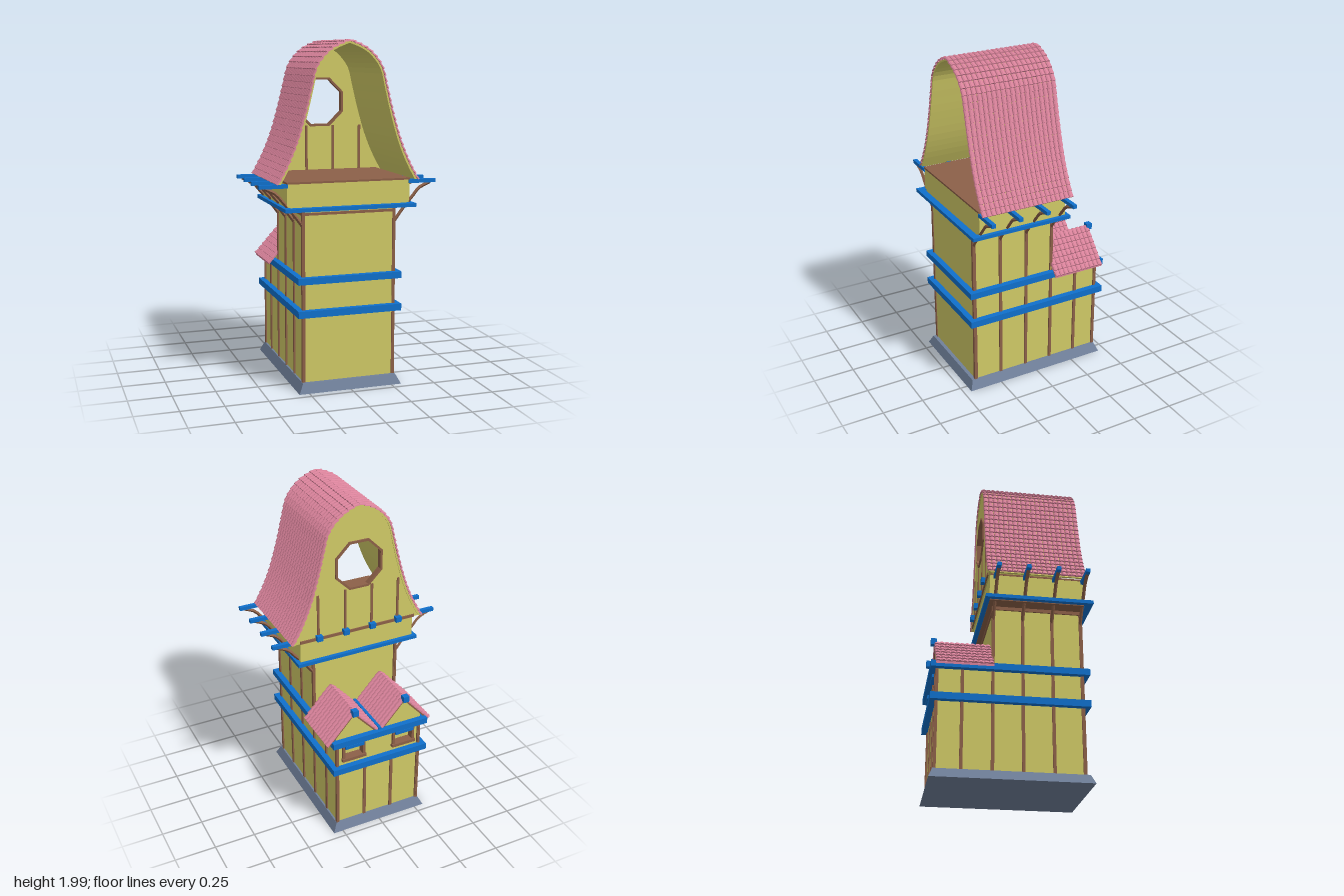
import * as THREE from 'three';
import { mergeGeometries } from 'three/addons/utils/BufferGeometryUtils.js';

const mat = (color) => new THREE.MeshStandardMaterial({ color, flatShading: true, side: THREE.DoubleSide });
const PLASTER = mat(0xd0ca66), WOOD = mat(0x8c6048), BLUE = mat(0x1070cc), TILE = mat(0xd8829a), SLATE = mat(0x70809a);
const V2 = (x, y) => new THREE.Vector2(x, y);

export function createModel() {
  const model = new THREE.Group();

  const add = (name, geo, material) => {
    const m = new THREE.Mesh(geo, material);
    m.name = name;
    model.add(m);
    return m;
  };
  // Box given by its limits on each axis
  const box = (name, material, x0, x1, y0, y1, z0, z1) => {
    const m = add(name, new THREE.BoxGeometry(x1 - x0, y1 - y0, z1 - z0), material);
    m.position.set((x0 + x1) / 2, (y0 + y1) / 2, (z0 + z1) / 2);
    return m;
  };
  // Flat shape in the xy plane, thickened from z0 to z1
  const slab = (name, material, shape, z0, z1) => {
    const m = add(name, new THREE.ExtrudeGeometry(shape, { depth: z1 - z0, bevelEnabled: false }), material);
    m.position.z = z0;
    return m;
  };
  // Four beams round a rectangle
  const ring = (name, x, y0, y1, z0, z1, w) => {
    box(name, BLUE, -x, x, y0, y1, z1 - w, z1);
    box(name, BLUE, -x, x, y0, y1, z0, z0 + w);
    for (const s of [-1, 1]) box(name, BLUE, s * (x - w / 2) - w / 2, s * (x - w / 2) + w / 2, y0, y1, z0 + w, z1 - w);
  };
  const rect = (x0, x1, y0, y1) => new THREE.Shape([V2(x0, y0), V2(x1, y0), V2(x1, y1), V2(x0, y1)]);

  // Sloped stone plinth
  const plinth = new THREE.BoxGeometry(0.62, 0.055, 0.91);
  const pp = plinth.attributes.position;
  for (let i = 0; i < pp.count; i++) if (pp.getY(i) > 0) pp.setXYZ(i, pp.getX(i) * 0.91, pp.getY(i), pp.getZ(i) * 0.95);
  add('plinth', plinth, SLATE).position.y = 0.0275;

  // Tower and low rear wing; the wing's back wall has two window openings
  box('towerWalls', PLASTER, -0.272, 0.272, 0.05, 1.05, -0.105, 0.41);
  box('wingWalls', PLASTER, -0.272, 0.272, 0.05, 0.66, -0.385, -0.105);
  const backWall = rect(-0.272, 0.272, 0.05, 0.66);
  for (const c of [-0.165, 0.165]) backWall.holes.push(rect(c - 0.06, c + 0.06, 0.525, 0.605));
  slab('wingBackWall', PLASTER, backWall, -0.42, -0.385);

  // Upright timbers on the walls
  const postZ = [0.404, 0.235, 0.063, -0.108, -0.28, -0.423];
  for (const s of [-1, 1]) {
    postZ.forEach((z, i) =>
      box('sidePost', WOOD, s * 0.274 - 0.006, s * 0.274 + 0.006, 0.05, i < 4 ? 1.04 : 0.65, z - 0.009, z + 0.009));
    box('topRail', WOOD, s * 0.275 - 0.006, s * 0.275 + 0.006, 1.02, 1.04, -0.11, 0.41);
    for (const z of [0.409, -0.424, -0.108])
      box('cornerPost', WOOD, s * 0.271 - 0.009, s * 0.271 + 0.009, 0.05, z < -0.2 ? 0.65 : 1.04, z - 0.006, z + 0.006);
    box('backPost', WOOD, s * 0.09 - 0.009, s * 0.09 + 0.009, 0.05, 0.45, -0.428, -0.415);
  }
  box('topRail', WOOD, -0.28, 0.28, 1.02, 1.035, 0.405, 0.416);
  box('topRail', WOOD, -0.28, 0.28, 1.02, 1.035, -0.114, -0.1);

  // Blue string courses
  ring('lowerBand', 0.31, 0.44, 0.48, -0.46, 0.445, 0.035);
  ring('upperBand', 0.31, 0.632, 0.67, -0.46, 0.445, 0.035);
  ring('jettyBand', 0.388, 1.047, 1.068, -0.165, 0.462, 0.04);

  // Overhanging upper storey
  box('jettyWalls', PLASTER, -0.365, 0.365, 1.052, 1.2, -0.142, 0.412);
  box('jettySoffit', WOOD, -0.36, 0.36, 1.042, 1.053, -0.14, 0.41);
  box('atticFloor', WOOD, -0.366, 0.366, 1.199, 1.21, -0.145, 0.415);

  // Eaves beams with curved braces
  for (const s of [-1, 1]) for (const z of postZ.slice(0, 4)) {
    box('eavesBeam', BLUE, s * 0.4425 - 0.0825, s * 0.4425 + 0.0825, 1.178, 1.2, z - 0.012, z + 0.012);
    const path = new THREE.CatmullRomCurve3(
      [[0.27, 0.955], [0.33, 1.035], [0.39, 1.105], [0.43, 1.15], [0.495, 1.18]].map(([x, y]) => new THREE.Vector3(s * x, y, z)));
    add('eavesBrace', new THREE.TubeGeometry(path, 10, 0.01, 4), WOOD);
  }

  // Bell-shaped roof: right-hand profile from eave to ridge
  const half = [[0.415, 1.195], [0.352, 1.31], [0.298, 1.44], [0.25, 1.6], [0.215, 1.74], [0.188, 1.84], [0.13, 1.915], [0.07, 1.955], [0, 1.982]];
  const curve = new THREE.SplineCurve(half.map((p) => V2(...p)));
  const outer = curve.getPoints(24);
  const mirrored = (pts) => [...pts, ...pts.slice(0, -1).reverse().map((p) => V2(-p.x, p.y))];
  const inner = outer.map((p) => V2(p.x * 0.965, p.y - 0.012 * (p.y - 1.19) / 0.8));
  const shell = new THREE.Shape([...mirrored(outer), ...mirrored(inner).reverse()]);
  slab('roofLining', PLASTER, shell, -0.155, 0.412);

  // Rear gable with an octagonal opening
  const octagon = (apothem) => Array.from({ length: 8 }, (_, i) => {
    const a = (i + 0.5) * Math.PI / 4, r = apothem / Math.cos(Math.PI / 8);
    return V2(r * Math.cos(a), 1.622 + r * Math.sin(a));
  });
  const gable = new THREE.Shape(mirrored(outer));
  gable.holes.push(new THREE.Path(octagon(0.138)));
  slab('rearGable', PLASTER, gable, -0.15, -0.138);
  const frame = new THREE.Shape(octagon(0.147));
  frame.holes.push(new THREE.Path(octagon(0.134)));
  slab('octagonFrame', WOOD, frame, -0.16, -0.128);
  for (const x of [-0.255, -0.085, 0.085, 0.255]) {
    box('gablePost', WOOD, x - 0.007, x + 0.007, 1.2, 1.48, -0.156, -0.131);
    box('joistEnd', BLUE, x - 0.018, x + 0.018, 1.197, 1.23, -0.18, -0.145);
  }
  box('gableSill', WOOD, -0.37, 0.37, 1.195, 1.212, -0.157, -0.14);

  // Rounded tiles laid in rows up a slope; s is the side the slope faces
  const tiles = (name, slope, s, cx, z0, z1, rows, cols) => {
    const w = (z1 - z0) / cols, len = slope.getLength() / rows;
    const arch = Array.from({ length: 6 }, (_, i) => V2(Math.cos(i * Math.PI / 5) * w / 2, Math.sin(i * Math.PI / 5) * 0.011));
    const tile = new THREE.ExtrudeGeometry(new THREE.Shape(arch), { depth: len * 1.12, bevelEnabled: false });
    tile.rotateX(0.2).translate(0, 0.005, 0);
    const parts = [];
    for (let r = 0; r < rows; r++) {
      const a = slope.getPointAt(r / rows), b = slope.getPointAt((r + 1) / rows);
      const up = new THREE.Vector3(s * (b.x - a.x), b.y - a.y, 0).normalize();
      const across = new THREE.Vector3(0, 0, s);
      const m = new THREE.Matrix4().makeBasis(across, up.clone().cross(across), up);
      for (let c = 0; c < cols; c++)
        parts.push(tile.clone().applyMatrix4(m.setPosition(cx + s * a.x, a.y, z0 + (c + 0.5) * w)));
    }
    add(name, mergeGeometries(parts), TILE);
  };
  for (const s of [-1, 1]) tiles('roofTiles', curve, s, 0, -0.163, 0.42, 25, 20);

  // Twin rear dormers
  for (const d of [-1, 1]) {
    const cx = d * 0.165;
    const wall = new THREE.Shape([V2(0, 0.65), V2(d * 0.28, 0.65), V2(d * 0.28, 0.695), V2(cx, 0.83), V2(0, 0.65)]);
    slab('dormerGable', PLASTER, wall, -0.425, -0.105);
    for (const s of [-1, 1]) {
      const reach = s === d ? 0.17 : 0.16;
      const line = new THREE.LineCurve(V2(reach, 0.838 - reach * 1.12), V2(0, 0.838));
      tiles('dormerTiles', line, s, cx, -0.436, -0.108, 7, 11);
      const edge = new THREE.Shape([V2(cx, 0.842), V2(cx + s * reach, 0.842 - reach * 1.12),
        V2(cx + s * reach, 0.83 - reach * 1.12), V2(cx, 0.83)]);
      slab('dormerDeck', TILE, edge, -0.434, -0.108);
      const barge = new THREE.Shape([V2(cx, 0.83), V2(cx + s * 0.15, 0.662), V2(cx + s * 0.15, 0.648), V2(cx, 0.816)]);
      slab('dormerBarge', WOOD, barge, -0.43, -0.42);
    }
    box('ridgeBeamEnd', BLUE, cx - 0.018, cx + 0.018, 0.82, 0.858, -0.455, -0.42);

    // Window frame, sill and lintel
    for (const s of [-1, 1]) box('windowJamb', WOOD, cx + s * 0.065 - 0.008, cx + s * 0.065 + 0.008, 0.515, 0.615, -0.434, -0.388);
    box('windowSill', WOOD, cx - 0.078, cx + 0.078, 0.508, 0.527, -0.442, -0.388);
    box('windowHead', WOOD, cx - 0.073, cx + 0.073, 0.6, 0.612, -0.434, -0.388);
    box('windowLintel', BLUE, cx - 0.06, cx + 0.06, 0.598, 0.618, -0.446, -0.415);
  }
  box('valleyGutter', BLUE, -0.009, 0.009, 0.655, 0.685, -0.44, -0.105);

  return model;
}
